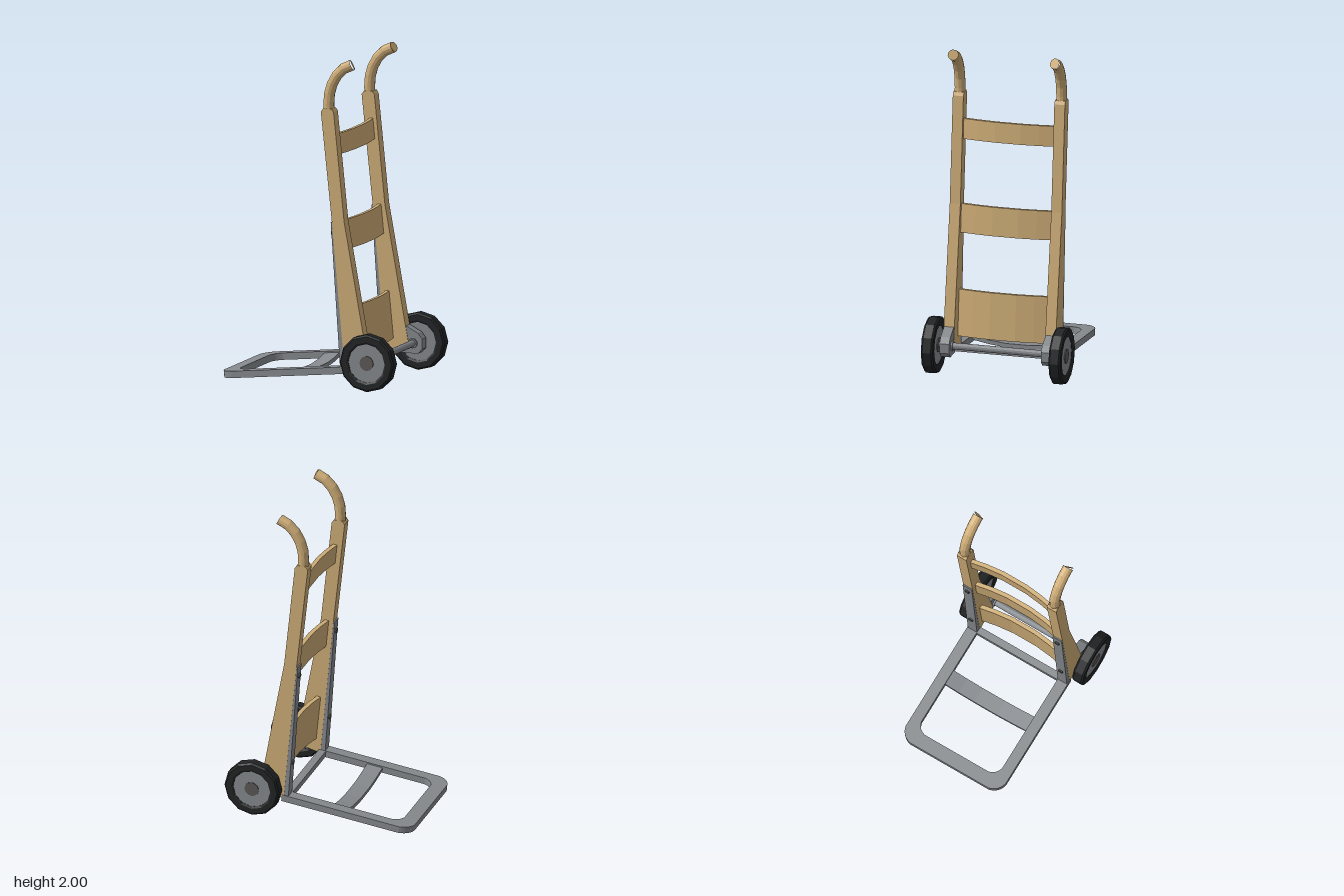
import * as THREE from 'three';

const mat = (name, color, extra = {}) => {
  const m = new THREE.MeshStandardMaterial({ color, flatShading: true, ...extra });
  m.name = name;
  return m;
};

export function createModel() {
  const model = new THREE.Group();
  const wood = mat('wood', 0xd0ae78);
  const steel = mat('steel', 0x868a8e);
  const rubber = mat('rubber', 0x222425);
  const hubMetal = mat('hub metal', 0x5c5857);

  const add = (name, geo, material, parent = model) => {
    const mesh = new THREE.Mesh(geo, material);
    mesh.name = name;
    parent.add(mesh);
    return mesh;
  };
  const shapeOf = (pts) => new THREE.Shape(pts.map(([x, y]) => new THREE.Vector2(x, y)));
  const extrude = (shape, depth) =>
    new THREE.ExtrudeGeometry(shape, { depth, bevelEnabled: false, curveSegments: 6 });
  // side-profile part, centred on its own z
  const slab = (pts, width) => extrude(shapeOf(pts), width).translate(0, 0, -width / 2);

  // bowed band: offset curve across the width, with constant thickness
  const bow = [[-0.287, 0], [-0.19, 0.018], [-0.08, 0.03], [0.08, 0.03], [0.19, 0.018], [0.287, 0]];

  // left and right uprights with handles, straps, brackets and wheels
  for (const s of [1, -1]) {
    const side = new THREE.Group();
    side.name = s > 0 ? 'leftSide' : 'rightSide';
    side.position.z = s * 0.316;
    model.add(side);

    add('rail', slab([[0.23, 0.11], [0.385, 0.15], [0.35, 0.34], [0.226, 1.02], [0.158, 1.68],
      [0.145, 1.7], [0.09, 1.7], [0.075, 1.68], [0.148, 1.0]], 0.066), wood, side);

    // curved round handle
    const path = new THREE.CatmullRomCurve3([[0.116, 1.66], [0.115, 1.77], [0.141, 1.86],
      [0.197, 1.937], [0.268, 1.974]].map(([x, y]) => new THREE.Vector3(x, y, 0)));
    add('handle', new THREE.TubeGeometry(path, 6, 0.033, 12), wood, side);
    const cap = add('handleEnd', new THREE.CircleGeometry(0.033, 12), wood, side);
    cap.position.copy(path.getPoint(1));
    cap.lookAt(path.getPoint(1).add(path.getTangent(1)));

    // steel strap down the face of the rail
    add('strap', slab([[0.2, 0.12], [0.235, 0.11], [0.15, 1.01], [0.139, 1.01]], 0.064), steel, side);
    for (const [x, y] of [[0.142, 0.94], [0.184, 0.35]]) {
      const bolt = add('bolt', new THREE.CylinderGeometry(0.016, 0.016, 0.016, 8), hubMetal, side);
      bolt.rotation.z = Math.PI / 2 + 0.07;
      bolt.position.set(x, y, 0);
    }

    // axle bracket and collar
    add('axleBracket', slab([[0.33, 0.12], [0.44, 0.12], [0.468, 0.15], [0.468, 0.21],
      [0.44, 0.245], [0.362, 0.285]], 0.06), steel, side);
    const collar = add('axleCollar', new THREE.CylinderGeometry(0.03, 0.03, 0.08, 12), steel, side);
    collar.rotation.x = Math.PI / 2;
    collar.position.set(0.407, 0.182, 0);

    // wheel, lying along z
    const wheel = new THREE.Group();
    wheel.name = 'wheel';
    wheel.position.set(0.405, 0.18, s * 0.081);
    wheel.rotation.x = Math.PI / 2;
    side.add(wheel);
    const tyre = [[0.118, -0.03], [0.13, -0.037], [0.165, -0.037], [0.175, -0.026], [0.175, 0.026],
      [0.165, 0.037], [0.13, 0.037], [0.118, 0.03], [0.118, -0.03]];
    add('tyre', new THREE.LatheGeometry(tyre.map(([r, y]) => new THREE.Vector2(r, y)), 12), rubber, wheel);
    add('rim', new THREE.CylinderGeometry(0.12, 0.12, 0.056, 12), steel, wheel);
    add('hub', new THREE.CylinderGeometry(0.045, 0.045, 0.066, 12), hubMetal, wheel);
  }

  // bowed wooden slats: x at the top edge, lower y, height
  const tilt = 0.1;
  for (const [name, x, y, h] of [['topSlat', 0.122, 1.41, 0.125],
    ['middleSlat', 0.175, 0.837, 0.178], ['bottomSlat', 0.227, 0.203, 0.288]]) {
    const front = bow.map(([z, o]) => [o, z]);
    const back = bow.map(([z, o]) => [o + 0.026, z]).reverse();
    const slat = add(name, extrude(shapeOf([...front, ...back]), h).rotateX(-Math.PI / 2), wood);
    slat.rotation.z = tilt;
    slat.position.set(x + h * tilt, y, 0);
  }

  // axle
  const axle = add('axle', new THREE.CylinderGeometry(0.021, 0.021, 0.74, 12), steel);
  axle.rotation.x = Math.PI / 2;
  axle.position.set(0.407, 0.182, 0);

  // toe frame: rounded at the outer end, with an open middle
  const roundedEnd = (p, x0, x1, w, r) => {
    p.moveTo(x1, -w);
    p.lineTo(x1, w);
    p.lineTo(x0 + r, w);
    p.quadraticCurveTo(x0 + r * 0.2, w - r * 0.2, x0, w - r);
    p.lineTo(x0, r - w);
    p.quadraticCurveTo(x0 + r * 0.2, r * 0.2 - w, x0 + r, -w);
    p.closePath();
    return p;
  };
  const frame = roundedEnd(new THREE.Shape(), -0.584, 0.245, 0.352, 0.075);
  frame.holes.push(roundedEnd(new THREE.Path(), -0.497, 0.2, 0.284, 0.06));
  const toe = add('toeFrame', extrude(frame, 0.042).rotateX(-Math.PI / 2), steel);
  toe.rotation.z = Math.atan(0.107);
  toe.position.y = 0.067;

  // sagging crossbar of the toe frame
  const lower = bow.map(([z, o]) => [z, -o]);
  const upper = bow.map(([z, o]) => [z, 0.024 - o]).reverse();
  const bar = add('toeCrossbar',
    extrude(shapeOf([...lower, ...upper]), 0.1).translate(0, 0, -0.05).rotateY(-Math.PI / 2), steel);
  bar.rotation.z = Math.atan(0.107);
  bar.position.set(-0.115, 0.064, 0);

  return model;
}
